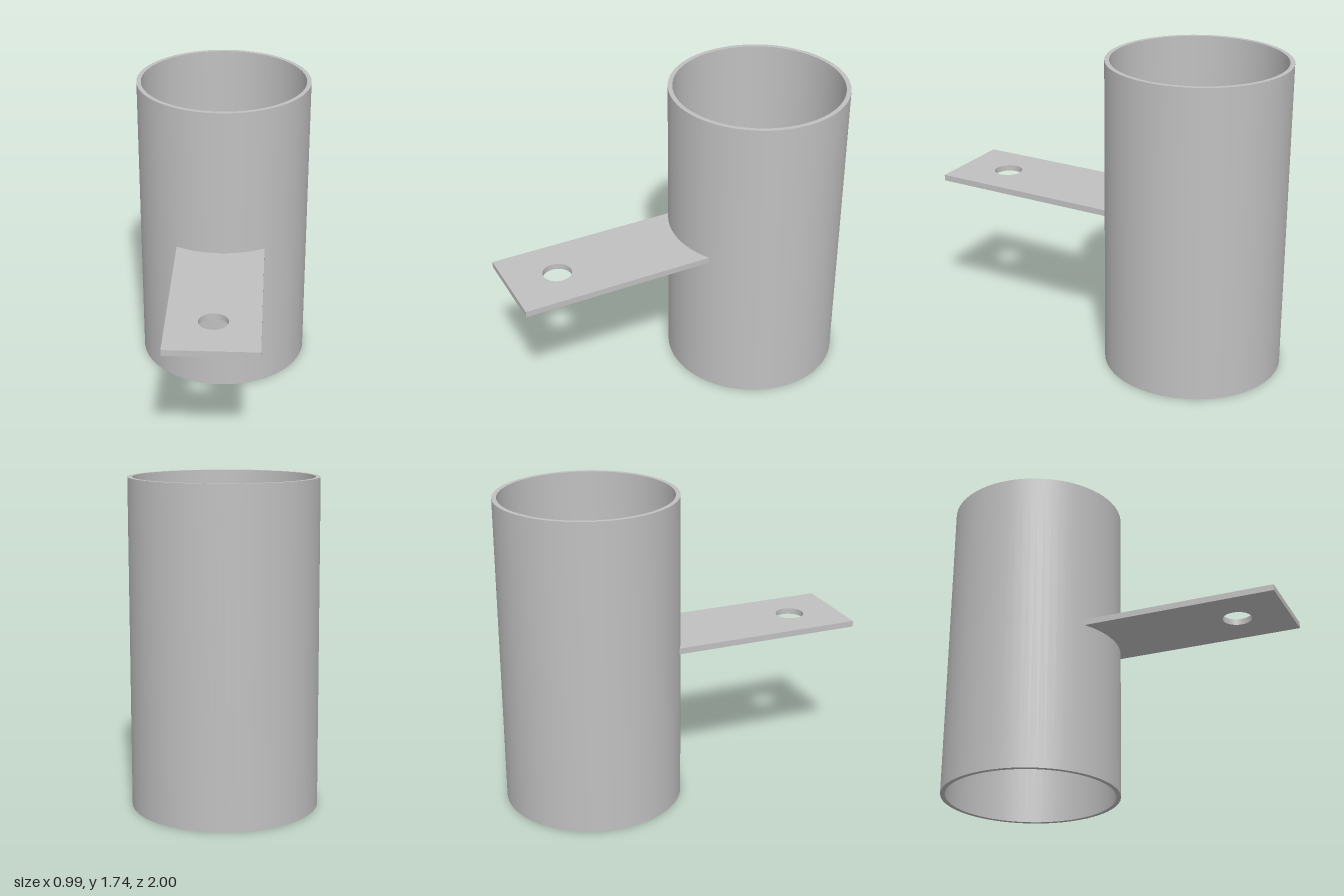
import * as THREE from 'three';
import { toCreasedNormals } from 'three/addons/utils/BufferGeometryUtils.js';

export function createModel() {
  const model = new THREE.Group();
  const steel = new THREE.MeshStandardMaterial({ color: 0xc0c0c0 });
  steel.name = 'steel';

  const height = 1.74, outer = 0.495, inner = 0.47, axisZ = -0.505;
  const midY = 0.875;

  const add = (name, geometry, x, y, z) => {
    const mesh = new THREE.Mesh(geometry, steel);
    mesh.name = name;
    mesh.position.set(x, y, z);
    model.add(mesh);
    return mesh;
  };

  // Open tube: closed wall section turned about the vertical axis
  const wall = [[inner, 0], [outer, 0], [outer, height], [inner, height], [inner, 0]]
    .map(([r, y]) => new THREE.Vector2(r, y));
  add('tube', toCreasedNormals(new THREE.LatheGeometry(wall, 72), 0.6), 0, 0, axisZ);

  // Mounting plate with a bolt hole; shape y becomes -z when laid flat
  const plate = new THREE.Shape();
  plate.moveTo(-0.25, -1);
  plate.lineTo(0.25, -1);
  plate.lineTo(0.25, 0.08);
  plate.lineTo(-0.25, 0.08);
  plate.closePath();
  const hole = new THREE.Path();
  hole.absarc(0, -0.72, 0.08, 0, Math.PI * 2, true);
  plate.holes.push(hole);
  const plateGeometry = new THREE.ExtrudeGeometry(plate, { depth: 0.034, bevelEnabled: false, curveSegments: 24 });
  plateGeometry.rotateX(-Math.PI / 2);
  add('mountingPlate', toCreasedNormals(plateGeometry, 0.6), 0, midY - 0.017, 0);

  // Centre post and the cross bar lying over it, inside the tube
  add('centrePost', new THREE.CylinderGeometry(0.095, 0.095, 0.29, 40), 0, midY - 0.145, axisZ);
  const bar = add('crossBar', new THREE.CylinderGeometry(0.032, 0.032, 0.58, 24), 0, midY, axisZ);
  bar.rotation.x = Math.PI / 2;

  return model;
}
